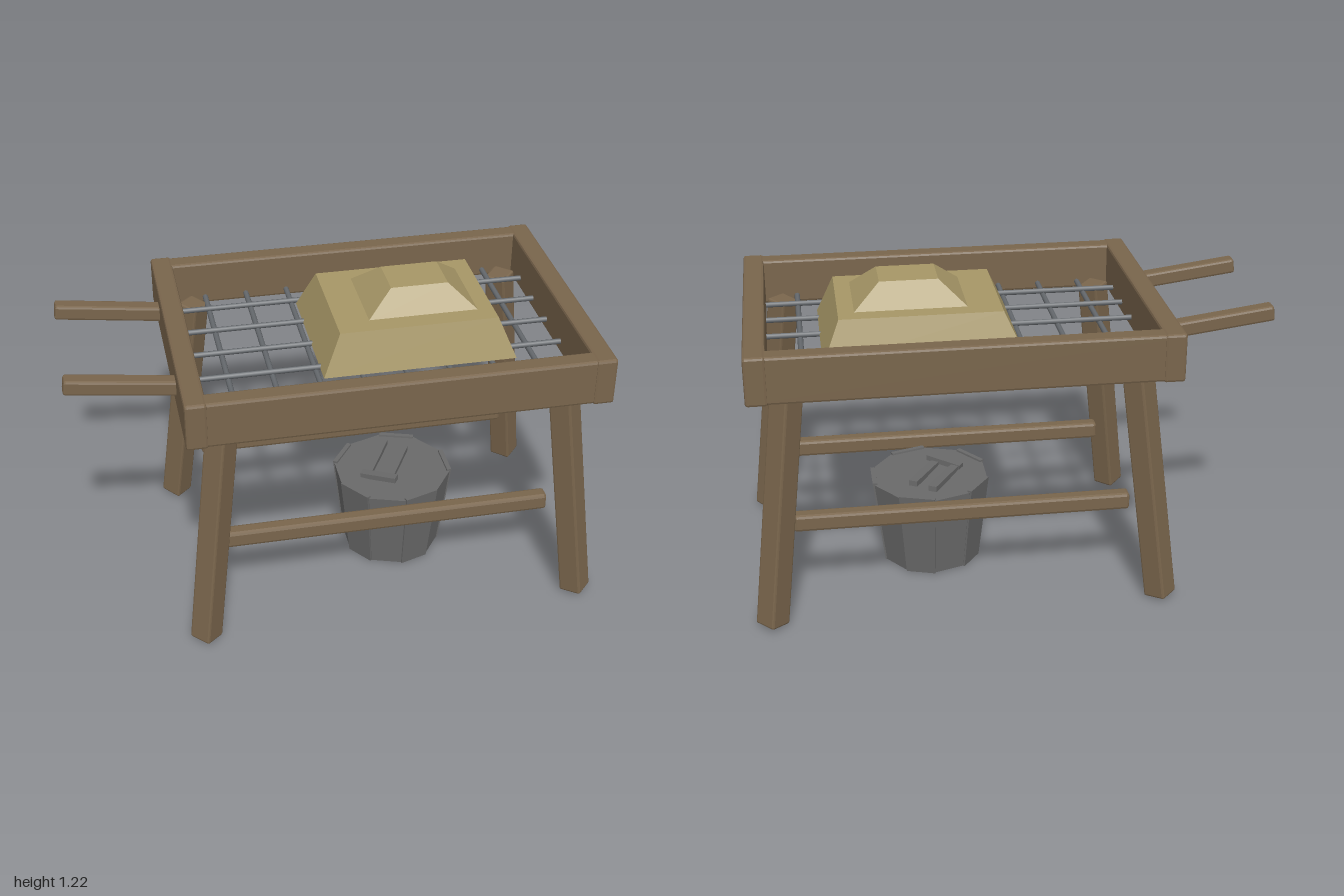
import * as THREE from 'three';
import { RoundedBoxGeometry } from 'three/addons/geometries/RoundedBoxGeometry.js';

export function createModel() {
  const model = new THREE.Group();
  model.name = 'siftingTable';

  const mat = (name, color) => {
    const m = new THREE.MeshStandardMaterial({ color });
    m.name = name;
    return m;
  };
  const wood = mat('brown wood', 0x79654c);
  const sand = mat('sand', 0xa69666);
  const iron = mat('dark iron', 0x666a6e);
  const bucketGrey = mat('bucket grey', 0x696969);

  const add = (name, geo, material, x = 0, y = 0, z = 0, parent = model) => {
    const mesh = new THREE.Mesh(geo, material);
    mesh.name = name;
    mesh.position.set(x, y, z);
    parent.add(mesh);
    return mesh;
  };

  // Timber with a small faceted bevel
  const timber = (w, h, d, bevel = 0.01) => {
    const g = new RoundedBoxGeometry(w, h, d, 1, bevel);
    g.computeVertexNormals();
    return g;
  };

  // Block with a different rectangle at bottom and top: [x0, x1, z0, z1, y]
  const taperedBlock = (bottom, top) => {
    const g = new THREE.BoxGeometry(1, 1, 1).toNonIndexed();
    const p = g.attributes.position;
    for (let i = 0; i < p.count; i++) {
      const r = p.getY(i) > 0 ? top : bottom;
      p.setXYZ(i, p.getX(i) > 0 ? r[1] : r[0], r[4], p.getZ(i) > 0 ? r[3] : r[2]);
    }
    g.computeVertexNormals();
    return g;
  };

  const midX = 0.185;

  // Tray frame
  for (const s of [-1, 1]) {
    add('trayEndBoard', timber(0.08, 0.185, 1.1), wood, midX + s * 0.745, 1.032, 0);
    add('traySideBoard', timber(1.55, 0.18, 0.075), wood, midX, 1.032, s * 0.508);
  }

  // Splayed legs, turned diagonally to the frame
  const up = new THREE.Vector3(0, 1, 0);
  for (const sx of [-1, 1]) for (const sz of [-1, 1]) {
    const top = new THREE.Vector3(midX + sx * 0.636, 0.98, sz * 0.41);
    const foot = new THREE.Vector3(midX + sx * 0.745, 0.02, sz * 0.485);
    const axis = top.clone().sub(foot);
    const c = top.add(foot).multiplyScalar(0.5);
    const leg = add('leg', timber(0.09, axis.length(), 0.09, 0.008), wood, c.x, c.y, c.z);
    leg.quaternion.setFromUnitVectors(up, axis.normalize());
    leg.rotateY(Math.PI / 4);
  }

  // Long stretchers and carrying handles
  for (const s of [-1, 1]) {
    add('stretcher', timber(1.29, 0.068, 0.058, 0.012), wood, midX, 0.357, s * 0.321);
    const handle = add('handle', timber(0.45, 0.06, 0.06), wood, -0.776, 1.058, s * 0.27 - 0.005);
    handle.rotation.z = -0.13;
  }

  // Wire grate
  const bar = (length) => new THREE.CylinderGeometry(0.011, 0.011, length, 8);
  const grate = new THREE.Group();
  grate.name = 'grate';
  model.add(grate);
  for (let i = 0; i < 5; i++) {
    add('longBar', bar(1.42), iron, midX, 0.985, -0.345 + i * 0.17, grate).rotation.z = Math.PI / 2;
  }
  for (let i = 0; i < 8; i++) {
    add('crossBar', bar(0.95), iron, -0.395 + i * 0.1655, 0.97, 0, grate).rotation.x = Math.PI / 2;
  }

  // Stepped sand heap
  add('heapBase', taperedBlock([-0.05, 0.69, -0.32, 0.25, 0.985], [0.02, 0.625, -0.268, 0.2, 1.14]), sand);
  add('heapTop', taperedBlock([0.14, 0.57, -0.205, 0.13, 1.135], [0.245, 0.465, -0.12, 0.05, 1.225]), sand);

  // Ten-sided bucket
  const bucket = new THREE.Group();
  bucket.name = 'bucket';
  bucket.position.set(0.283, 0, 0);
  model.add(bucket);
  const body = new THREE.CylinderGeometry(0.236, 0.194, 0.345, 10).toNonIndexed();
  body.computeVertexNormals();
  add('bucketBody', body, bucketGrey, 0, 0.185, 0, bucket);

  // Proud staves on alternate sides
  for (let i = 0; i < 10; i += 2) {
    const turn = new THREE.Group();
    turn.name = 'staveMount';
    turn.rotation.y = (i + 0.5) * Math.PI / 5;
    bucket.add(turn);
    add('stave', taperedBlock([-0.058, 0.058, 0.172, 0.19, 0.01], [-0.071, 0.071, 0.214, 0.232, 0.365]),
      bucketGrey, 0, 0, 0, turn);
  }

  // Loose slats lying on the lid
  const slats = [
    [-0.05, 0.368, -0.07, 0.22, 1.05, 0.05],
    [0.02, 0.366, -0.01, 0.22, 1.05, 0.05],
    [-0.07, 0.372, 0.07, 0.15, -0.6, 0.1],
  ];
  for (const [x, y, z, length, yaw, tilt] of slats) {
    const slat = add('lidSlat', new THREE.BoxGeometry(length, 0.022, 0.034), bucketGrey, x, y, z, bucket);
    slat.rotation.set(0, yaw, tilt, 'YXZ');
  }

  return model;
}
